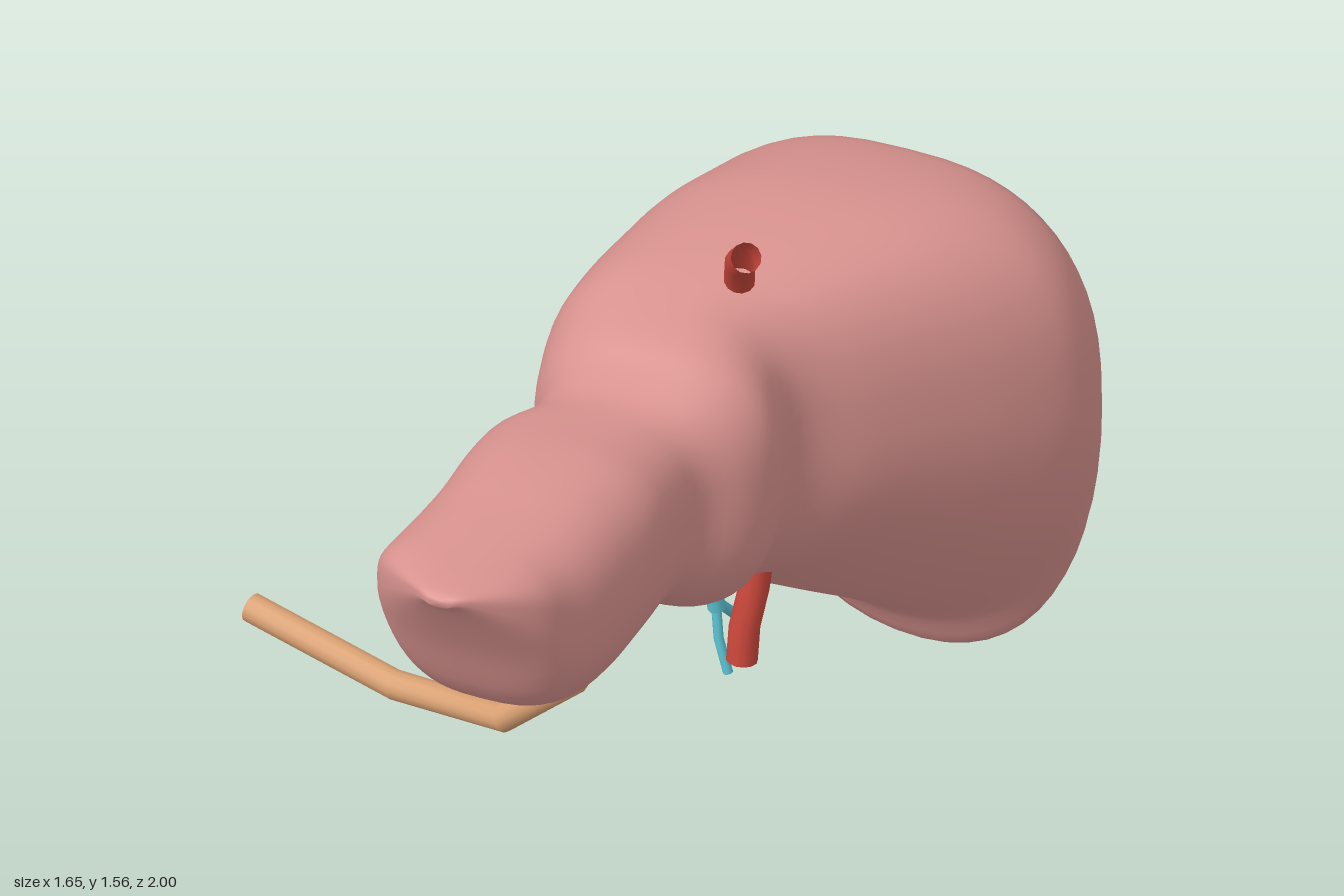
import * as THREE from 'three';

// Cross-sections from back to front: z, left x, right x, bottom y, top y, x of lowest point
const SECTIONS = [
  [-1.0, 0.2, 0.46, 0.52, 0.88, 0.36],
  [-0.975, 0.05, 0.6, 0.3, 1.1, 0.36],
  [-0.93, -0.06, 0.7, 0.08, 1.23, 0.36],
  [-0.87, -0.125, 0.77, 0.0, 1.31, 0.36],
  [-0.8, -0.16, 0.81, 0.11, 1.345, 0.33],
  [-0.68, -0.185, 0.81, 0.21, 1.375, 0.25],
  [-0.54, -0.205, 0.725, 0.31, 1.395, 0.15],
  [-0.4, -0.21, 0.61, 0.42, 1.395, 0.09],
  [-0.28, -0.215, 0.5, 0.51, 1.388, 0.08],
  [-0.18, -0.215, 0.4, 0.555, 1.378, 0.06],
  [-0.1, -0.21, 0.37, 0.58, 1.365, 0.06],
  [0.02, -0.18, 0.395, 0.63, 1.34, 0.08],
  [0.11, -0.14, 0.365, 0.7, 1.305, 0.1],
  [0.2, -0.14, 0.295, 0.76, 1.282, 0.08],
  [0.3, -0.19, 0.285, 0.79, 1.29, 0.05],
  [0.42, -0.2, 0.29, 0.775, 1.305, 0.02],
  [0.54, -0.205, 0.28, 0.725, 1.305, -0.03],
  [0.66, -0.215, 0.26, 0.77, 1.297, -0.02],
  [0.76, -0.22, 0.225, 0.86, 1.292, 0],
  [0.84, -0.205, 0.195, 1.02, 1.288, 0],
  [0.91, -0.14, 0.14, 1.14, 1.285, 0],
  [0.97, -0.06, 0.07, 1.23, 1.28, 0],
  [0.995, -0.02, 0.03, 1.25, 1.27, 0],
];

function liverGeometry() {
  const pick = (a, b, c) => new THREE.CatmullRomCurve3(
    SECTIONS.map(s => new THREE.Vector3(s[a], s[b], s[c])), false, 'catmullrom', 0.5);
  const across = pick(0, 1, 2), upright = pick(3, 4, 5);
  const rings = 88, sides = 56, pos = [], index = [];
  for (let i = 0; i <= rings + 2; i++) {
    const t = THREE.MathUtils.clamp((i - 1) / rings, 0, 1);
    const closed = i === 0 || i === rings + 2; // collapsed end ring
    const { x: z, y: xl, z: xr } = across.getPoint(t);
    const { x: yb, y: yt, z: bx } = upright.getPoint(t);
    const cx = (xl + xr) / 2, w = closed ? 0 : (xr - xl) / 2;
    const cy = yb + (yt - yb) * 0.56;
    const front = THREE.MathUtils.smoothstep(z, -0.7, 0.4);
    for (let j = 0; j < sides; j++) {
      const a = (j / sides) * Math.PI * 2, c = Math.cos(a), s = Math.sin(a);
      // rounded-square section, sharper below at the back
      const p = 2 / (s > 0 ? 2.7 : 2.1 + 0.6 * front);
      const u = Math.sign(c) * Math.abs(c) ** p, v = Math.abs(s) ** p;
      const h = closed ? 0 : s > 0 ? yt - cy : yb - cy;
      const lean = s < 0 && !closed ? (bx - cx) * v ** 1.5 : 0;
      pos.push(cx + w * u + lean, cy + h * v, z);
    }
  }
  for (let i = 0; i < rings + 2; i++) {
    for (let j = 0; j < sides; j++) {
      const k = (j + 1) % sides;
      const a = i * sides + j, b = i * sides + k, c = a + sides, d = b + sides;
      index.push(a, b, c, b, d, c);
    }
  }
  const g = new THREE.BufferGeometry();
  g.setAttribute('position', new THREE.Float32BufferAttribute(pos, 3));
  g.setIndex(index);
  g.computeVertexNormals();
  return g;
}

// Open tube with one ring per path point, so that bends stay angular
function vessel(name, color, radius, points) {
  const path = new THREE.CatmullRomCurve3(points.map(p => new THREE.Vector3(...p)));
  path.getPointAt = path.getPoint;
  path.getTangentAt = path.getTangent;
  const mesh = new THREE.Mesh(
    new THREE.TubeGeometry(path, points.length - 1, radius, 12),
    new THREE.MeshStandardMaterial({ color, side: THREE.DoubleSide }));
  mesh.name = name;
  return mesh;
}

export function createModel() {
  const model = new THREE.Group();
  model.name = 'liver';

  const body = new THREE.Mesh(liverGeometry(), new THREE.MeshStandardMaterial({ color: 0xd9938f }));
  body.name = 'liverBody';
  model.add(body);

  const RED = 0xc8463a, BLUE = 0x5cc3d3, TAN = 0xd9a072;
  model.add(
    vessel('bileDuct', TAN, 0.034, [
      [0.13, 0.84, 0.2], [0.11, 0.74, 0.235], [0.02, 0.57, 0.275],
      [-0.15, 0.41, 0.26], [-0.44, 0.36, 0.18], [-0.82, 0.392, 0.08]]),
    vessel('upperVein', RED, 0.034, [
      [0.2, 1.33, -0.23], [0.215, 1.4, -0.19], [0.235, 1.47, -0.145], [0.275, 1.535, -0.085]]),
    vessel('lowerArtery', RED, 0.035, [
      [0.225, 0.62, -0.285], [0.215, 0.5, -0.27], [0.202, 0.41, -0.25], [0.2, 0.325, -0.24]]),
  );

  // Forked vessel below the body
  const fork = new THREE.Group();
  fork.name = 'portalVessel';
  fork.add(
    vessel('trunk', BLUE, 0.02, [[0.09, 0.58, -0.305], [0.095, 0.49, -0.31], [0.105, 0.38, -0.325]]),
    vessel('frontBranch', BLUE, 0.011, [[0.104, 0.4, -0.322], [0.115, 0.31, -0.312], [0.138, 0.225, -0.31]]),
    vessel('backBranch', BLUE, 0.012, [[0.104, 0.4, -0.322], [0.108, 0.335, -0.385], [0.112, 0.24, -0.475]]),
  );
  model.add(fork);
  return model;
}
